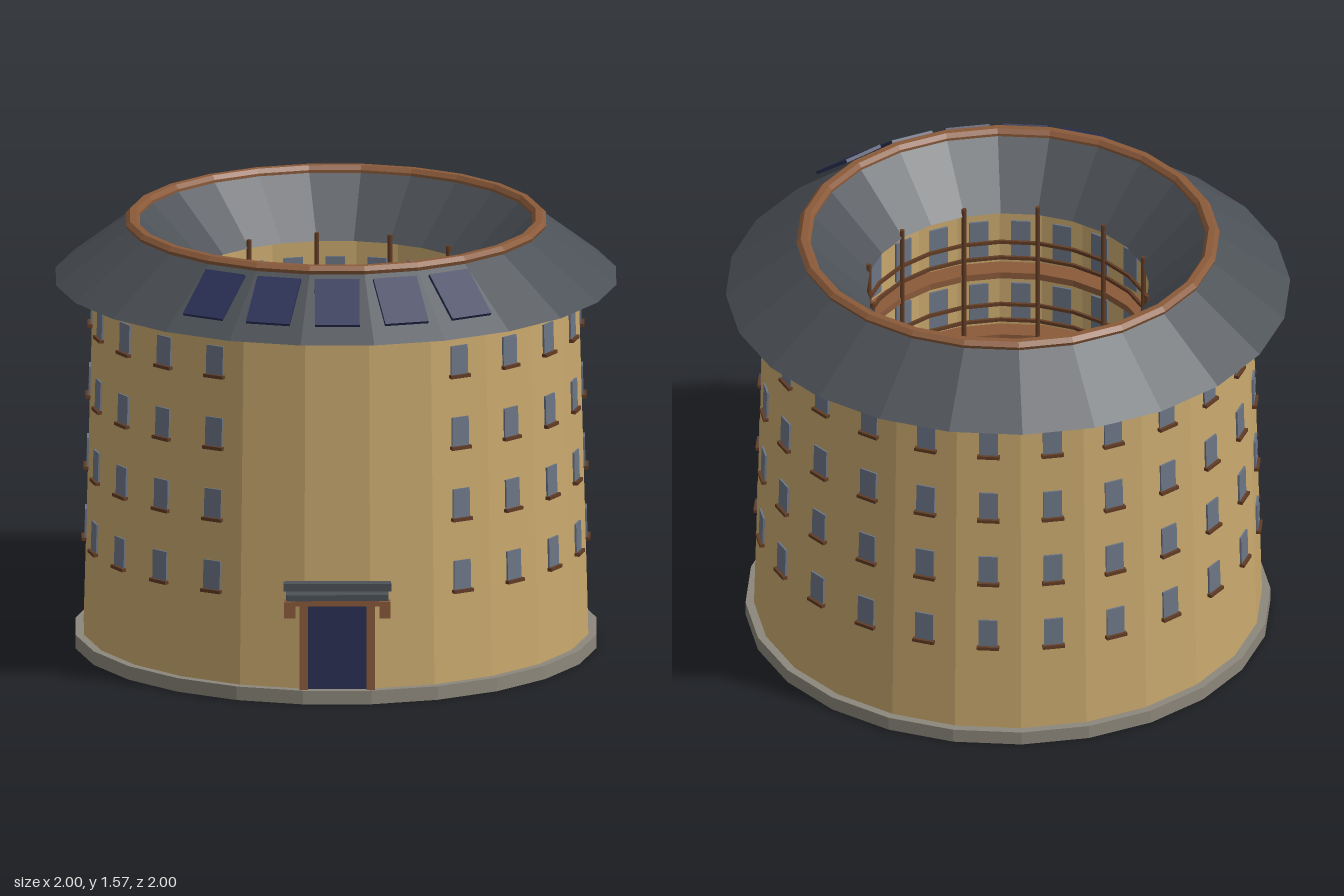
import * as THREE from 'three';

const SIDES = 24, STEP = Math.PI * 2 / SIDES, HALF = STEP / 2;
const mat = (name, color) => {
  const m = new THREE.MeshStandardMaterial({ color });
  m.name = name;
  return m;
};

export function createModel() {
  const model = new THREE.Group();
  model.name = 'roundhouse';
  const earth = mat('rammed earth', 0xc9a96e);
  const tile = mat('roof tile', 0x4c5157);
  const wood = mat('warm wood', 0x8a5a3a);
  const darkWood = mat('dark wood', 0x623c24);
  const stone = mat('stone', 0x8c877b);
  const glass = mat('window glass', 0x6b7585);
  const navy = mat('dark blue', 0x2a3055);

  const add = (name, geo, material, parent = model) => {
    const mesh = new THREE.Mesh(geo, material);
    mesh.name = name;
    parent.add(mesh);
    return mesh;
  };
  // Faceted ring; profile is [distance to flat, y], run counter-clockwise
  const ring = (name, profile, material) => {
    const pts = profile.map(([r, y]) => new THREE.Vector2(r / Math.cos(HALF), y));
    const geo = new THREE.LatheGeometry(pts, SIDES, HALF).toNonIndexed();
    geo.computeVertexNormals();
    return add(name, geo, material);
  };
  const band = (name, r0, r1, y0, y1, material) =>
    ring(name, [[r0, y0], [r1, y0], [r1, y1], [r0, y1], [r0, y0]], material);
  const box = (name, w, h, d, x, y, z, material, parent = model) => {
    const m = add(name, new THREE.BoxGeometry(w, h, d), material, parent);
    m.position.set(x, y, z);
    return m;
  };
  // Group turned about the axis, so that its +z points outward
  const spoke = (name, angle) => {
    const g = new THREE.Group();
    g.name = name;
    g.rotation.y = angle;
    model.add(g);
    return g;
  };

  // Base, main walls and roof
  ring('foundation', [[0, 0], [0.93, 0], [0.93, 0.05], [0, 0.05]], stone);
  ring('walls', [[0.9, 0.05], [0.865, 1.345], [0.58, 1.345], [0.58, 0.05]], earth);
  ring('mainRoof', [[0.5, 1.34], [1, 1.34], [0.74, 1.54], [0.7, 1.54], [0.5, 1.34]], tile);
  ring('ridge', [[0.7, 1.53], [0.742, 1.53], [0.75, 1.55], [0.735, 1.565], [0.712, 1.565], [0.7, 1.55], [0.7, 1.53]], wood);

  // Outer windows with sills, leaving the entrance side blank
  const lean = Math.atan(0.035 / 1.295);
  const wallRadius = y => 0.9 - (y - 0.05) * Math.tan(lean);
  for (let i = 2; i <= SIDES - 2; i++) {
    const g = spoke('windowColumn', i * STEP);
    for (let level = 0; level < 4; level++) {
      const y = 0.437 + level * 0.262;
      box('window', 0.068, 0.108, 0.014, 0, y, wallRadius(y), glass, g).rotation.x = -lean;
      box('sill', 0.08, 0.012, 0.03, 0, y - 0.057, wallRadius(y) + 0.004, darkWood, g);
    }
  }

  // Gallery floors and railings around the courtyard
  for (let level = 1; level <= 4; level++) {
    const y = 0.05 + level * 0.26;
    band('galleryFloor', 0.505, 0.585, y - 0.025, y, wood);
    for (const h of [0.06, 0.125]) band('railing', 0.505, 0.515, y + h - 0.006, y + h + 0.006, darkWood);
  }
  // Gallery doors on each facet, posts on every second corner
  for (let i = 0; i < SIDES; i++) {
    const g = spoke('galleryBay', i * STEP);
    for (let level = 0; level < 5; level++) {
      box('galleryWindow', 0.07, 0.16, 0.009, 0, 0.145 + level * 0.26, 0.577, glass, g);
    }
    if (i % 2 === 0) {
      const p = spoke('galleryPostBay', i * STEP + HALF);
      const post = add('galleryPost', new THREE.CylinderGeometry(0.009, 0.009, 1.32, 6), darkWood, p);
      post.position.set(0, 0.71, 0.508);
    }
  }

  // Low inner ring house with a gabled roof
  band('innerHouse', 0.38, 0.475, 0.05, 0.25, earth);
  ring('innerRoof', [[0.36, 0.24], [0.5, 0.24], [0.42, 0.31], [0.36, 0.24]], tile);
  for (let i = 0; i < SIDES; i += 2) {
    box('innerDoor', 0.05, 0.13, 0.008, 0, 0.115, 0.379, darkWood, spoke('innerDoorBay', i * STEP));
  }

  // Courtyard pavilion
  box('pavilionBase', 0.34, 0.03, 0.34, 0, 0.065, 0, stone);
  box('pavilionHall', 0.24, 0.2, 0.24, 0, 0.17, 0, earth);
  for (const x of [-1, 1]) for (const z of [-1, 1]) {
    box('pavilionPost', 0.02, 0.2, 0.02, x * 0.15, 0.17, z * 0.15, wood);
  }
  box('pavilionEave', 0.42, 0.025, 0.42, 0, 0.2825, 0, tile);
  const pyramid = new THREE.ConeGeometry(0.18 * Math.SQRT2, 0.12, 4, 1, false, Math.PI / 4).toNonIndexed();
  pyramid.computeVertexNormals();
  add('pavilionRoof', pyramid, tile).position.y = 0.355;

  // Entrance with canopy
  box('door', 0.21, 0.31, 0.02, 0, 0.205, 0.897, navy);
  for (const s of [-1, 1]) {
    box('doorPost', 0.03, 0.31, 0.03, s * 0.12, 0.205, 0.902, wood);
    box('canopyBracket', 0.04, 0.06, 0.04, s * 0.17, 0.358, 0.955, wood);
  }
  box('lintel', 0.34, 0.028, 0.045, 0, 0.374, 0.905, wood);
  box('canopy', 0.365, 0.022, 0.12, 0, 0.409, 0.94, tile);
  box('canopyRidge', 0.385, 0.028, 0.04, 0, 0.436, 0.935, tile);

  // Solar panels on the front roof slope
  const pitch = Math.atan2(0.2, 0.26);
  for (let i = -2; i <= 2; i++) {
    const g = spoke('solarPanelMount', i * STEP);
    box('solarPanel', 0.16, 0.208, 0.012, 0, 1.465, 0.877, navy, g).rotation.x = pitch - Math.PI / 2;
  }
  return model;
}
